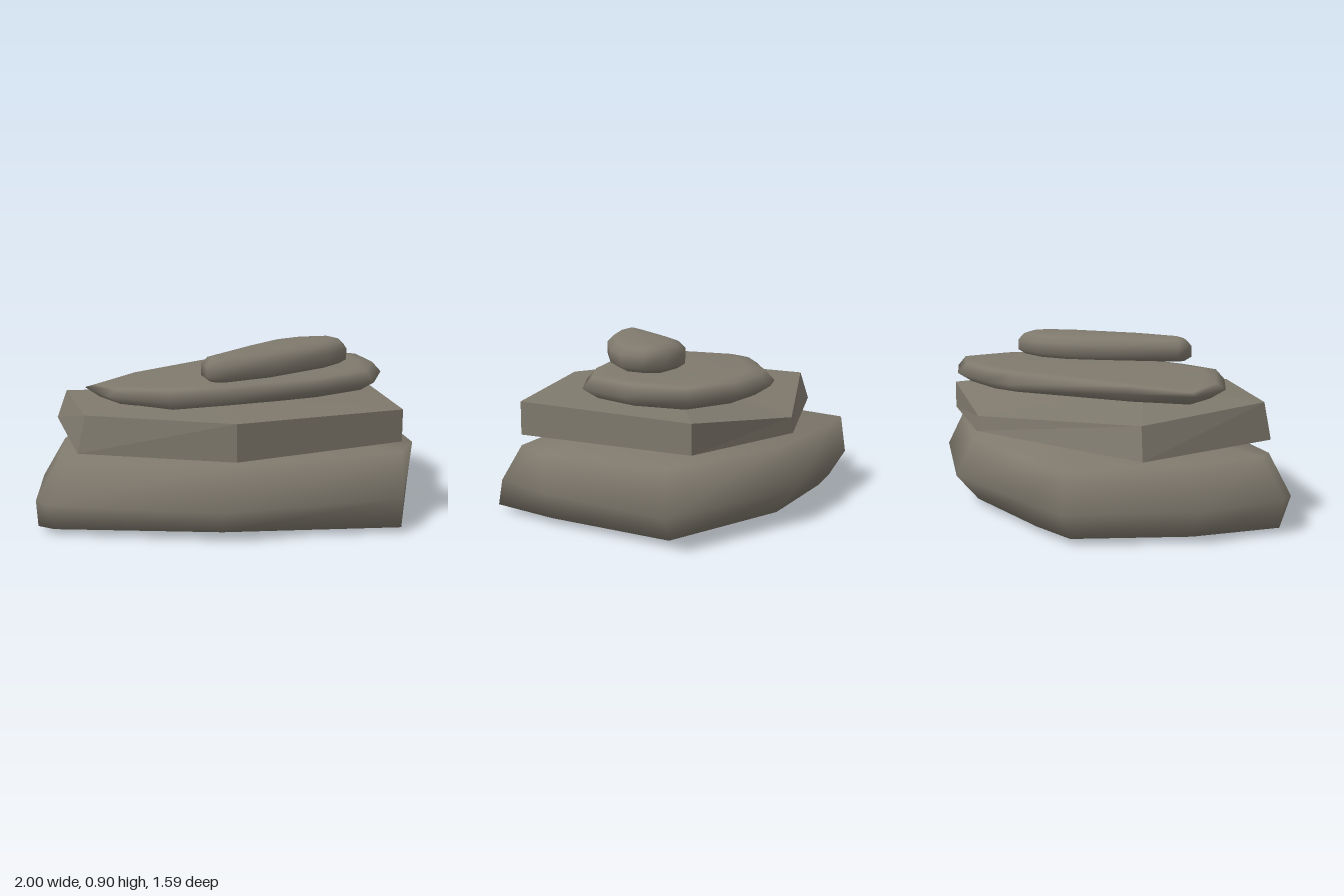
import * as THREE from 'three';

// Closed stone from stacked rings of [x, y, z], counter-clockwise from above.
function loft(rings, bottom, top, flat) {
  const n = rings[0].length;
  const pos = [...rings.flat(2), ...bottom, ...top];
  const b = rings.length * n, t = b + 1, index = [];
  for (let i = 0; i < n; i++) {
    const j = (i + 1) % n;
    for (let r = 0; r < rings.length - 1; r++) {
      const o = r * n, u = o + n;
      index.push(o + i, o + j, u + j, o + i, u + j, u + i);
    }
    const last = (rings.length - 1) * n;
    index.push(b, j, i, t, last + i, last + j);
  }
  let geo = new THREE.BufferGeometry();
  geo.setAttribute('position', new THREE.Float32BufferAttribute(pos, 3));
  geo.setIndex(index);
  if (flat) geo = geo.toNonIndexed();
  geo.computeVertexNormals();
  return geo;
}

// Outline [x, z] moved inwards by d and lifted to height y.
function inset(outline, d, y) {
  const n = outline.length;
  return outline.map(([x, z], i) => {
    const [px, pz] = outline[(i + n - 1) % n], [qx, qz] = outline[(i + 1) % n];
    const tx = qx - px, tz = qz - pz, l = Math.hypot(tx, tz);
    const h = typeof y === 'function' ? y(x, z) : y;
    return [x + (tz / l) * d, h, z - (tx / l) * d];
  });
}

const level = (points, y) => points.map(([x, z, h = y]) => [x, h, z]);

export function createModel() {
  const group = new THREE.Group();
  const stone = new THREE.MeshStandardMaterial({ color: 0x7f796d });
  stone.name = 'greyStone';
  const add = (name, geo) => {
    const mesh = new THREE.Mesh(geo, stone);
    mesh.name = name;
    group.add(mesh);
  };

  // Base boulder, widest below its middle
  add('baseStone', loft([
    level([[-0.93, 0.08], [-0.96, 0.55], [-0.87, 0.6], [-0.02, 0.65], [0.89, 0.57],
      [0.92, 0.16], [0.88, -0.55], [0.15, -0.68], [-0.48, -0.56], [-0.74, -0.48]], 0.03),
    level([[-1, 0.08], [-0.965, 0.57], [-0.9, 0.65], [-0.02, 0.78], [0.9, 0.53],
      [0.98, 0.16], [1, -0.62], [0.15, -0.8], [-0.52, -0.63], [-0.8, -0.55]], 0.17),
    level([[-0.88, 0.08], [-0.85, 0.5], [-0.79, 0.58], [0.02, 0.65], [0.91, 0.37],
      [1, 0.16], [0.9, -0.55], [0.15, -0.7], [-0.5, -0.61], [-0.78, -0.53]], 0.375),
  ], [0.05, 0.0, 0], [0.3, 0.43, 0.1]));

  // Angular slab
  add('slabStone', loft([
    level([[-0.96, -0.2], [-0.74, 0.62], [0.05, 0.79], [0.91, 0.37], [0.8, -0.62], [0.05, -0.71]], 0.43),
    level([[-0.9, -0.18, 0.59], [-0.7, 0.6, 0.62], [0.05, 0.79, 0.62],
      [0.91, 0.37, 0.6], [0.8, -0.62, 0.58], [0.05, -0.7, 0.51]]),
  ], [-0.6, 0.39, 0.35], [-0.1, 0.65, 0.2], true));

  // Thin flat stone, its top falling towards one end
  const flat = [[-0.75, 0.18], [-0.6, 0.43], [-0.28, 0.595], [0, 0.52], [0.52, 0.27], [0.8, 0.05],
    [0.88, -0.28], [0.8, -0.6], [0.48, -0.69], [0.16, -0.64], [-0.02, -0.55], [-0.54, -0.1]];
  const slope = (x) => Math.min(0.735, 0.74 + (x + 0.25) * 0.09);
  add('flatStone', loft([
    inset(flat, 0.08, 0.63),
    inset(flat, 0, 0.68),
    inset(flat, 0.05, slope),
    inset(flat, 0.13, (x) => slope(x) + 0.008),
  ], [0.1, 0.62, -0.05], [0.1, 0.745, -0.05]));

  // Long pebble on top
  const pebble = [[-0.13, 0.39], [-0.1, 0.485], [0, 0.51], [0.25, 0.36], [0.55, 0.08], [0.66, -0.08],
    [0.66, -0.22], [0.57, -0.3], [0.37, -0.26], [0.22, -0.15], [0.1, 0.02]];
  add('topPebble', loft([
    inset(pebble, 0.04, 0.76),
    inset(pebble, 0, 0.785),
    inset(pebble, 0, 0.845),
    inset(pebble, 0.035, 0.88),
    inset(pebble, 0.09, 0.895),
  ], [0.27, 0.745, 0.1], [0.27, 0.9, 0.1]));

  return group;
}
